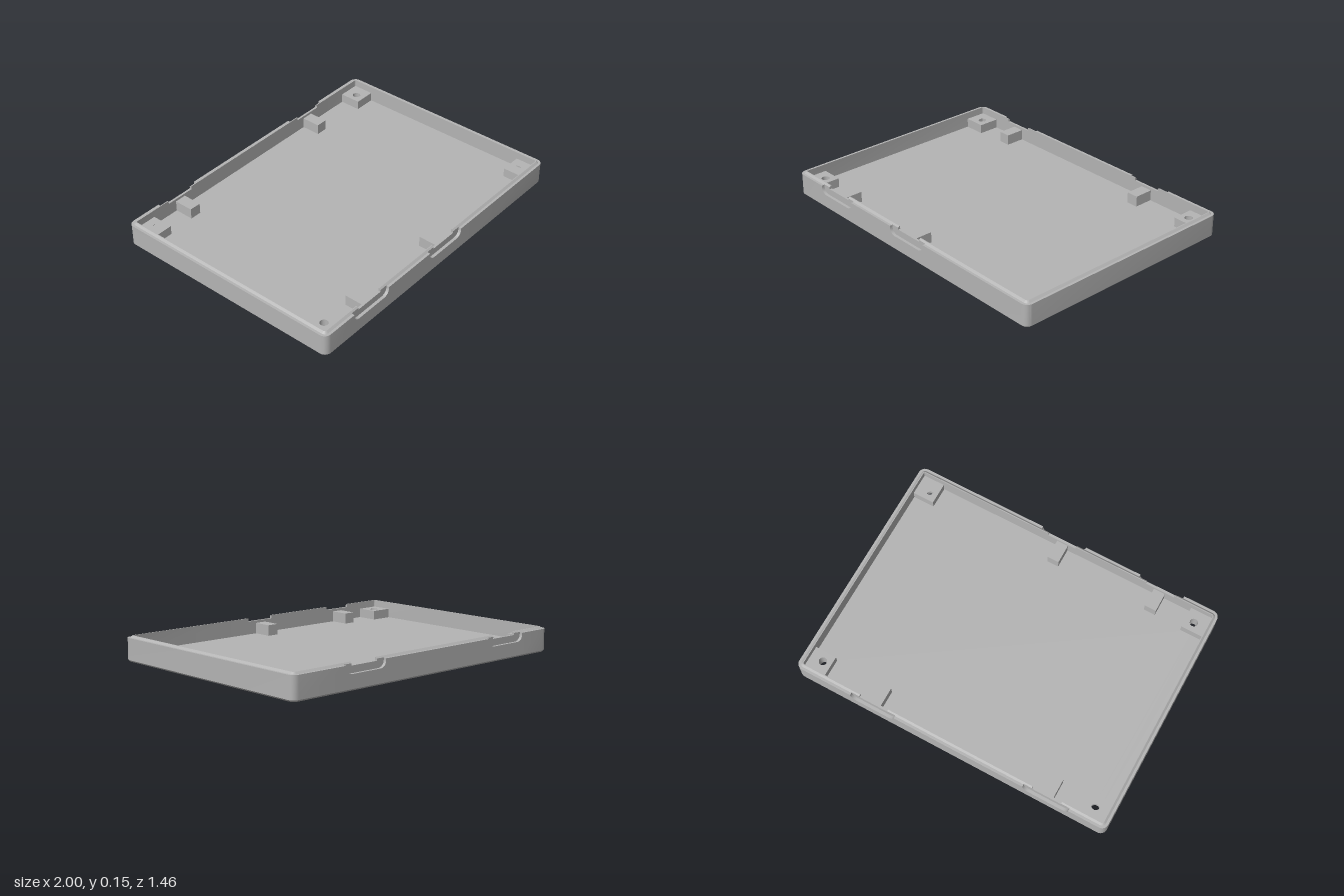
import * as THREE from 'three';
import { toCreasedNormals } from 'three/addons/utils/BufferGeometryUtils.js';

const HX = 1, HZ = 0.73, R = 0.04;           // outer half sizes and corner radius
const WALL = 0.032, FLOOR = 0.05, TOP = 0.15, SHOULDER = 0.139;
const HOLE_X = 0.888, HOLE_Z = 0.622, HOLE_R = 0.024, SINK_R = 0.038;

// Wall cross-sections as [inset, height], from underside chamfer over the lip to the floor
const fullProfile = [[0.01, 0], [0, 0.01], [0, SHOULDER], [0.015, SHOULDER], [0.015, SHOULDER],
  [0.027, TOP], [WALL, TOP], [WALL, FLOOR]];
const recessProfile = (b, slot) => [[0.01, 0], [0, 0.01], [0, b], [0.018, b],
  [0.018, slot ? 0.13 : 0.142], [0.027, slot ? 0.13 : TOP], [WALL, slot ? 0.13 : TOP], [WALL, FLOOR]];

// Stations across one latch recess: rounded lower corners, and a slot through the lip
function recessStations(c) {
  const w = 0.144, r = 0.04, s = 0.092, half = [];
  half.push([w, fullProfile]);
  for (let i = 0; i <= 6; i++) {
    const a = (i / 6) * Math.PI / 2;
    half.push([w - r + r * Math.cos(a), recessProfile(0.09 + r - r * Math.sin(a), false)]);
  }
  half.push([s, recessProfile(0.09, false)], [s, recessProfile(0.09, true)]);
  const mirrored = half.map(([u, p]) => [-u, p]);
  return [...mirrored, ...half.reverse()].map(([u, p]) => [c + u, p]);
}

// Sweep the wall profile round the whole perimeter
function wallGeometry(frontCentres, backCentres) {
  const rings = [];
  const corner = (sx, sz, a0) => {
    for (let i = 0; i <= 6; i++) {
      const a = a0 + (i / 6) * Math.PI / 2;
      rings.push(fullProfile.map(([d, y]) => new THREE.Vector3(
        sx * (HX - R) + (R - d) * Math.cos(a), y, sz * (HZ - R) + (R - d) * Math.sin(a))));
    }
  };
  const side = (stations, sz) => stations.forEach(([x, p]) =>
    rings.push(p.map(([d, y]) => new THREE.Vector3(x, y, sz * (HZ - d)))));

  corner(1, 1, 0);
  side(frontCentres.flatMap(recessStations).sort((a, b) => a[0] - b[0]).reverse(), 1);
  corner(-1, 1, Math.PI / 2);
  corner(-1, -1, Math.PI);
  side(backCentres.flatMap(recessStations), -1);
  corner(1, -1, Math.PI * 1.5);

  const pos = [], tri = new THREE.Triangle();
  const add = (a, b, c) => {
    if (tri.set(a, b, c).getArea() > 1e-9) for (const v of [a, b, c]) pos.push(v.x, v.y, v.z);
  };
  rings.forEach((A, i) => {
    const B = rings[(i + 1) % rings.length];
    for (let j = 0; j < A.length - 1; j++) {
      add(A[j], A[j + 1], B[j]);
      add(A[j + 1], B[j + 1], B[j]);
    }
  });
  const g = new THREE.BufferGeometry();
  g.setAttribute('position', new THREE.Float32BufferAttribute(pos, 3));
  return toCreasedNormals(g, 0.5);
}

// Rounded plate outline with four screw holes
function plateShape(inset, holeR) {
  const x = HX - R, z = HZ - R, r = R - inset, q = Math.PI / 2;
  const s = new THREE.Shape();
  s.absarc(x, z, r, 0, q);
  s.absarc(-x, z, r, q, 2 * q);
  s.absarc(-x, -z, r, 2 * q, 3 * q);
  s.absarc(x, -z, r, 3 * q, 4 * q);
  for (const sx of [-1, 1]) for (const sz of [-1, 1])
    s.holes.push(new THREE.Path().absarc(sx * HOLE_X, sz * HOLE_Z, holeR, 0, Math.PI * 2, true));
  return s;
}

export function createModel() {
  const group = new THREE.Group();
  const grey = new THREE.MeshStandardMaterial({ color: 0xb4b4b4 });
  grey.name = 'grey plastic';
  const inner = new THREE.MeshStandardMaterial({ color: 0xb4b4b4, side: THREE.DoubleSide });
  inner.name = 'grey plastic bore';
  const add = (name, geo, mat = grey) => {
    const m = new THREE.Mesh(geo, mat);
    m.name = name;
    group.add(m);
    return m;
  };

  // Tray shell
  add('wall', wallGeometry([-0.625, 0.025], [-0.625, 0.492]));
  add('floor', new THREE.ShapeGeometry(plateShape(WALL, HOLE_R), 24).rotateX(-Math.PI / 2).translate(0, FLOOR, 0));
  add('underside', new THREE.ShapeGeometry(plateShape(0.01, SINK_R), 24).rotateX(Math.PI / 2));

  // Corner screw bosses with countersunk bores
  const bossTop = 0.106;
  for (const sx of [-1, 1]) for (const sz of [-1, 1]) {
    const x0 = 0.834, x1 = HX - WALL, z0 = 0.565, z1 = HZ - WALL;
    const pts = [[x0, z0], [x1, z0], [x1, z1], [x0, z1]].map(([x, z]) => new THREE.Vector2(sx * x, -sz * z));
    const s = new THREE.Shape(pts);
    s.holes.push(new THREE.Path().absarc(sx * HOLE_X, -sz * HOLE_Z, HOLE_R, 0, Math.PI * 2, true));
    add('screwBoss', new THREE.ExtrudeGeometry(s, { depth: bossTop - FLOOR, bevelEnabled: false, curveSegments: 24 })
      .rotateX(-Math.PI / 2).translate(0, FLOOR, 0));
    const bore = [[SINK_R, 0], [HOLE_R, 0.025], [HOLE_R, FLOOR]].map(([r, y]) => new THREE.Vector2(r, y));
    add('screwBore', toCreasedNormals(new THREE.LatheGeometry(bore, 24), 0.4), inner)
      .position.set(sx * HOLE_X, 0, sz * HOLE_Z);
  }

  // Support blocks behind each latch recess
  const blockTop = 0.115, depth = 0.12;
  for (const [x, sz] of [[-0.625, 1], [0.02, 1], [-0.625, -1], [0.492, -1]]) {
    add('supportBlock', new THREE.BoxGeometry(0.072, blockTop - FLOOR, depth))
      .position.set(x, (blockTop + FLOOR) / 2, sz * (HZ - WALL - depth / 2));
  }
  return group;
}
